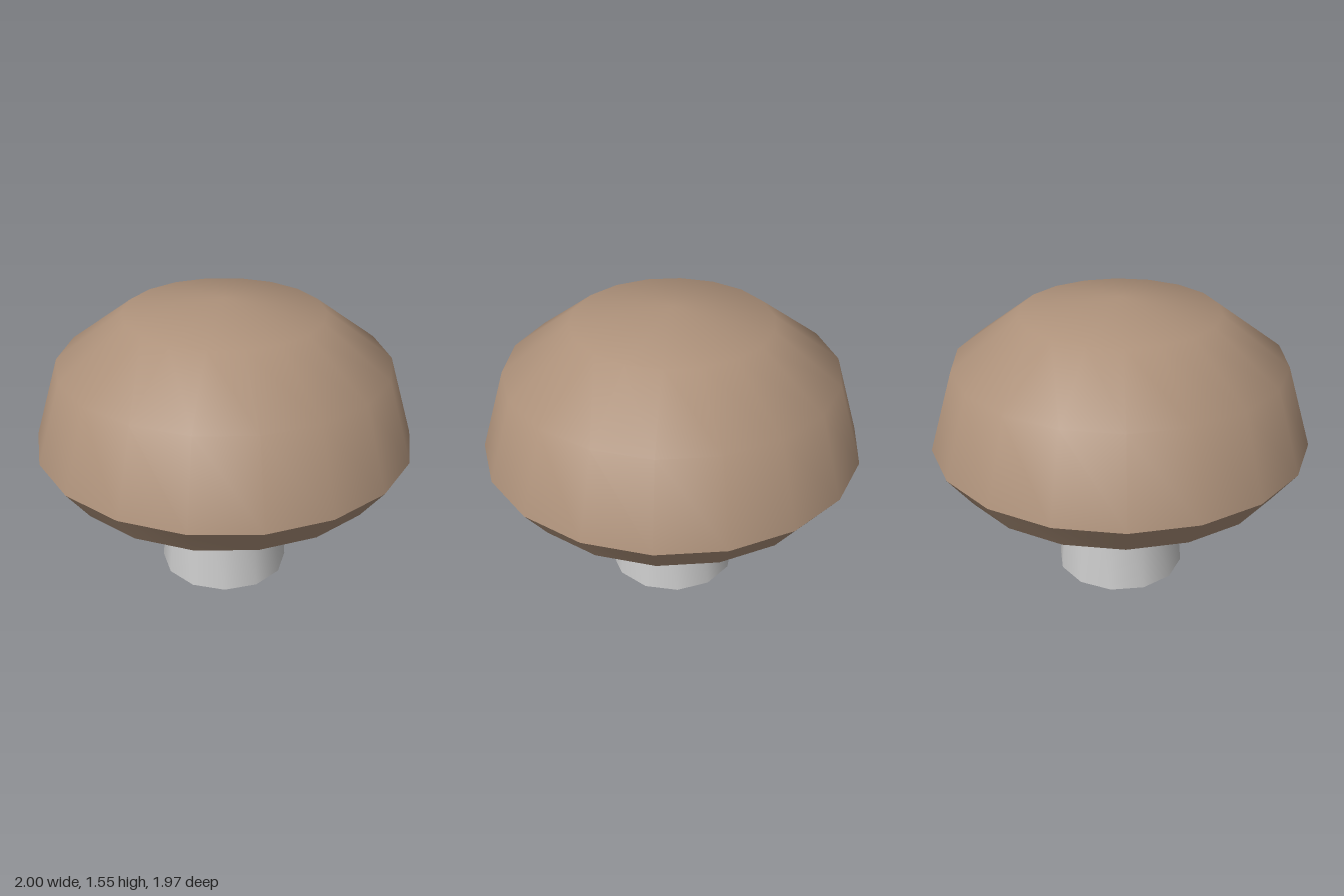
import * as THREE from 'three';
import { toCreasedNormals } from 'three/addons/utils/BufferGeometryUtils.js';

// Revolve a bottom-to-top profile, first corner on the x axis, sharp rims kept
function turned(name, profile, sides, color) {
  const points = profile.map(([r, y]) => new THREE.Vector2(r, y));
  const lathe = new THREE.LatheGeometry(points, sides, Math.PI / 2);
  const mesh = new THREE.Mesh(
    toCreasedNormals(lathe, THREE.MathUtils.degToRad(45)),
    new THREE.MeshStandardMaterial({ color })
  );
  mesh.name = name;
  return mesh;
}

export function createModel() {
  const model = new THREE.Group();
  model.name = 'mushroom';

  // Tapered stem, closed at the foot and reaching the cap's underside
  model.add(turned('stem', [[0, 0], [0.348, 0], [0.297, 0.615]], 12, 0xcccccc));

  // Domed cap with a bevelled rim and flat underside
  model.add(turned('cap', [
    [0, 0.615], [0.87, 0.615], [1, 0.787], [0.87, 1.22], [0.52, 1.48], [0, 1.55],
  ], 18, 0xad917a));

  return model;
}
